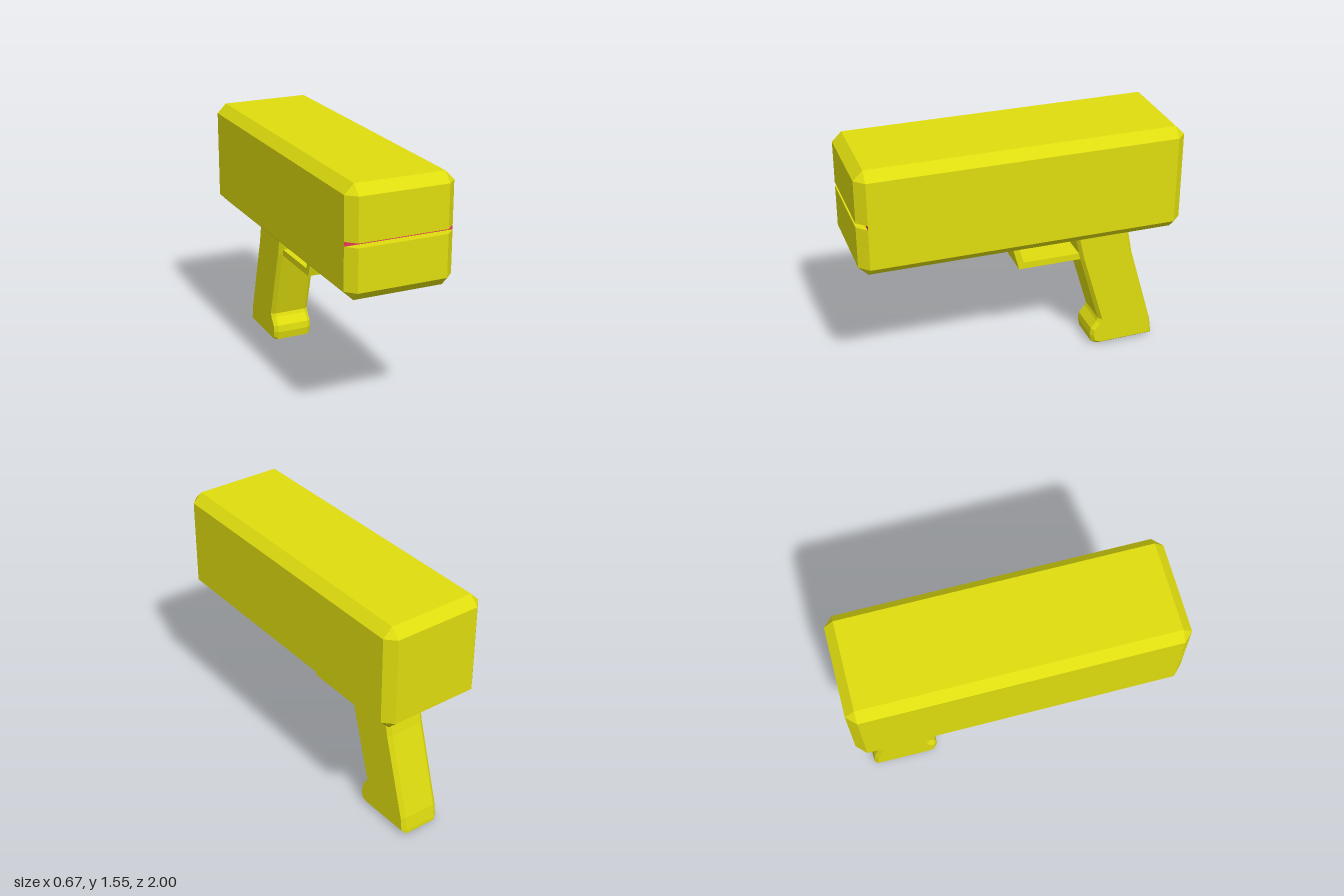
import * as THREE from 'three';

const yellow = new THREE.MeshStandardMaterial({ color: 0xdedc0e, flatShading: true });
const red = new THREE.MeshStandardMaterial({ color: 0xe0365a, flatShading: true });

// Joins rings of [x, y, z] points (counter-clockwise seen from +z, ordered back to front)
function loft(rings, capBack, capFront) {
  const pos = [];
  const same = (a, b) => a.every((v, k) => v === b[k]);
  const tri = (a, b, c) => {
    if (!same(a, b) && !same(b, c) && !same(a, c)) pos.push(...a, ...b, ...c);
  };
  const n = rings[0].length;
  for (let i = 0; i < rings.length - 1; i++) {
    for (let j = 0; j < n; j++) {
      const k = (j + 1) % n;
      const [a, b, c, d] = [rings[i][j], rings[i][k], rings[i + 1][k], rings[i + 1][j]];
      tri(a, b, c);
      tri(a, c, d);
    }
  }
  const first = rings[0], last = rings[rings.length - 1];
  for (let j = 1; j < n - 1; j++) {
    if (capBack) tri(first[0], first[j + 1], first[j]);
    if (capFront) tri(last[0], last[j], last[j + 1]);
  }
  const g = new THREE.BufferGeometry();
  g.setAttribute('position', new THREE.Float32BufferAttribute(pos, 3));
  g.computeVertexNormals();
  return g;
}

// Extrudes a side profile of [z, y] points across x, centred
function sideExtrude(points, width, bevel = 0, inset = 0) {
  const shape = new THREE.Shape(points.map(([z, y]) => new THREE.Vector2(z, y)));
  const depth = width - 2 * bevel;
  const g = new THREE.ExtrudeGeometry(shape, {
    depth, bevelEnabled: bevel > 0, bevelThickness: bevel,
    bevelSize: inset, bevelOffset: -inset, bevelSegments: 1,
  });
  return g.translate(0, 0, -depth / 2).rotateY(-Math.PI / 2);
}

export function createModel() {
  const group = new THREE.Group();
  const add = (name, geometry, material = yellow) => {
    const mesh = new THREE.Mesh(geometry, material);
    mesh.name = name;
    group.add(mesh);
  };

  // Body dimensions: half width, chamfer, bottom, top, slot edges
  const W = 0.333, C = 0.058, B = 0.886, T = 1.55, S0 = 1.203, S1 = 1.231;
  const w = W - C, b = B + C, t = T - C, zc = 1 - C;
  const at = (z, pts) => pts.map(([x, y]) => [x, y, z]);
  const octagon = [[W, b], [W, t], [w, T], [-w, T], [-W, t], [-W, b], [-w, B], [w, B]];
  const endFace = [[w, b], [w, t], [w, t], [-w, t], [-w, t], [-w, b], [-w, b], [w, b]];

  // Main block, open at the front where the two nose halves join
  add('body', loft([at(-1, endFace), at(-zc, octagon), at(zc, octagon)], true, false));

  // Nose halves above and below the slot
  add('upperNose', loft([
    at(zc, [[W, S1], [W, t], [w, T], [-w, T], [-W, t], [-W, S1]]),
    at(1, [[w, S1], [w, t], [w, t], [-w, t], [-w, t], [-w, S1]]),
  ], false, true));
  add('lowerNose', loft([
    at(zc, [[-W, S0], [-W, b], [-w, B], [w, B], [W, b], [W, S0]]),
    at(1, [[-w, S0], [-w, b], [-w, b], [w, b], [w, b], [w, S0]]),
  ], false, true));

  // Red strip at the bottom of the slot
  add('slotStrip', new THREE.PlaneGeometry(2 * W, S1 - S0).translate(0, (S0 + S1) / 2, zc), red);

  // Raked grip with a small toe at the bottom front
  add('grip', sideExtrude([
    [-0.37, 0.93], [-0.43, 0.65], [-0.565, 0.19], [-0.556, 0.168], [-0.518, 0.12],
    [-0.512, 0.075], [-0.522, 0.022], [-0.57, 0.002], [-0.938, 0.01], [-0.938, 0.03],
    [-0.926, 0.12], [-0.775, 0.645], [-0.72, 0.93],
  ], 0.26, 0.025, 0.02));

  // Bent trigger guard
  add('triggerGuard', sideExtrude([
    [0.042, 0.91], [-0.03, 0.648], [-0.46, 0.648], [-0.46, 0.69], [-0.06, 0.69], [0.008, 0.91],
  ], 0.21));

  return group;
}
